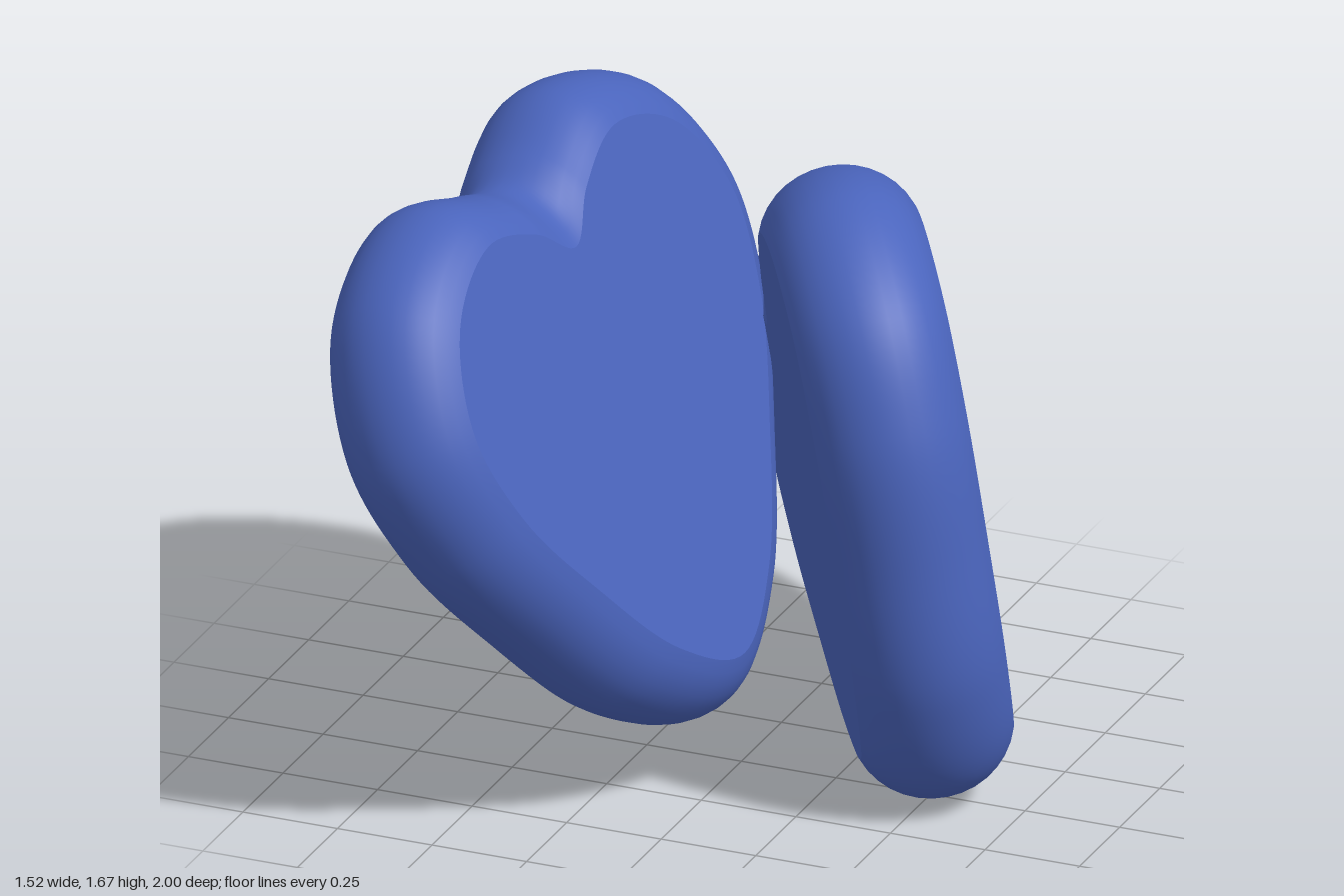
import * as THREE from 'three';

const DEPTH = 0.19;                  // half thickness
const ARC = 1.26;                    // rim sweep to each side, leaving a soft crease
const STEPS = 160, ROWS = 14;

// Right halves, from the notch to the tip: the flat face, and the widest line of the rim
const faceHalf = [[0, 0.185], [0.13, 0.285], [0.33, 0.355], [0.56, 0.25], [0.675, 0.01],
  [0.62, -0.26], [0.45, -0.54], [0.23, -0.82], [0, -0.95]];
const rimHalf = [[0, 0.375], [0.12, 0.415], [0.34, 0.485], [0.655, 0.35], [0.815, 0.015],
  [0.755, -0.31], [0.565, -0.63], [0.32, -0.93], [0, -1.085]];

// Smooth closed heart, mirrored from one half
function heartLoop(half) {
  const mirrored = half.slice(1, -1).reverse().map(([x, y]) => [-x, y]);
  const pts = [...half, ...mirrored].map(([x, y]) => new THREE.Vector3(x, y, 0));
  const curve = new THREE.CatmullRomCurve3(pts, true, 'centripetal');
  return Array.from({ length: STEPS }, (_, i) => curve.getPoint(i / STEPS));
}

// Rounded rim, swelling from the face outline to the widest line and back
function rimGeometry(inner, outer) {
  const pos = [], idx = [];
  for (let k = 0; k <= ROWS; k++) {
    const a = -ARC + (2 * ARC * k) / ROWS;
    const swell = (Math.cos(a) - Math.cos(ARC)) / (1 - Math.cos(ARC));
    const z = (DEPTH * Math.sin(a)) / Math.sin(ARC);
    for (let i = 0; i < STEPS; i++) {
      const p = inner[i].clone().lerp(outer[i], swell);
      pos.push(p.x, p.y, z);
    }
  }
  for (let k = 0; k < ROWS; k++) {
    for (let i = 0; i < STEPS; i++) {
      const j = (i + 1) % STEPS, a = k * STEPS + i, b = k * STEPS + j;
      idx.push(a, a + STEPS, b, b, a + STEPS, b + STEPS);
    }
  }
  const g = new THREE.BufferGeometry();
  g.setAttribute('position', new THREE.Float32BufferAttribute(pos, 3));
  g.setIndex(idx);
  g.computeVertexNormals();
  return g;
}

export function createModel() {
  const model = new THREE.Group();
  const blue = new THREE.MeshStandardMaterial({ color: 0x4a64bc });
  const inner = heartLoop(faceHalf);
  const rimGeo = rimGeometry(inner, heartLoop(rimHalf));
  const faceGeo = new THREE.ShapeGeometry(new THREE.Shape(inner.map((p) => new THREE.Vector2(p.x, p.y))));

  // A heart at a centre, facing along a normal and rolled about it
  function addHeart(name, centre, normal, roll, size) {
    const heart = new THREE.Group();
    heart.name = name;
    const rim = new THREE.Mesh(rimGeo, blue);
    rim.name = 'roundedRim';
    const front = new THREE.Mesh(faceGeo, blue);
    front.name = 'frontFace';
    front.position.z = DEPTH;
    const back = new THREE.Mesh(faceGeo, blue);
    back.name = 'backFace';
    back.rotation.y = Math.PI;       // the outline is symmetric, so it may be turned round
    back.position.z = -DEPTH;
    heart.add(rim, front, back);

    const n = new THREE.Vector3(...normal).normalize();
    const u = new THREE.Vector3(0, 1, 0).cross(n).normalize();
    const v = n.clone().cross(u);
    heart.quaternion.setFromRotationMatrix(new THREE.Matrix4().makeBasis(u, v, n));
    heart.rotateZ(roll);
    heart.position.set(...centre);
    heart.scale.set(size, size, 1);
    model.add(heart);
  }

  addHeart('leftHeart', [0.165, 0.915, -0.342], [0.84, 0.145, -0.525], -0.63, 0.97);
  addHeart('rightHeart', [-0.444, 1.185, 0.201], [0.925, 0.36, 0.12], 0.11, 0.99);
  return model;
}
